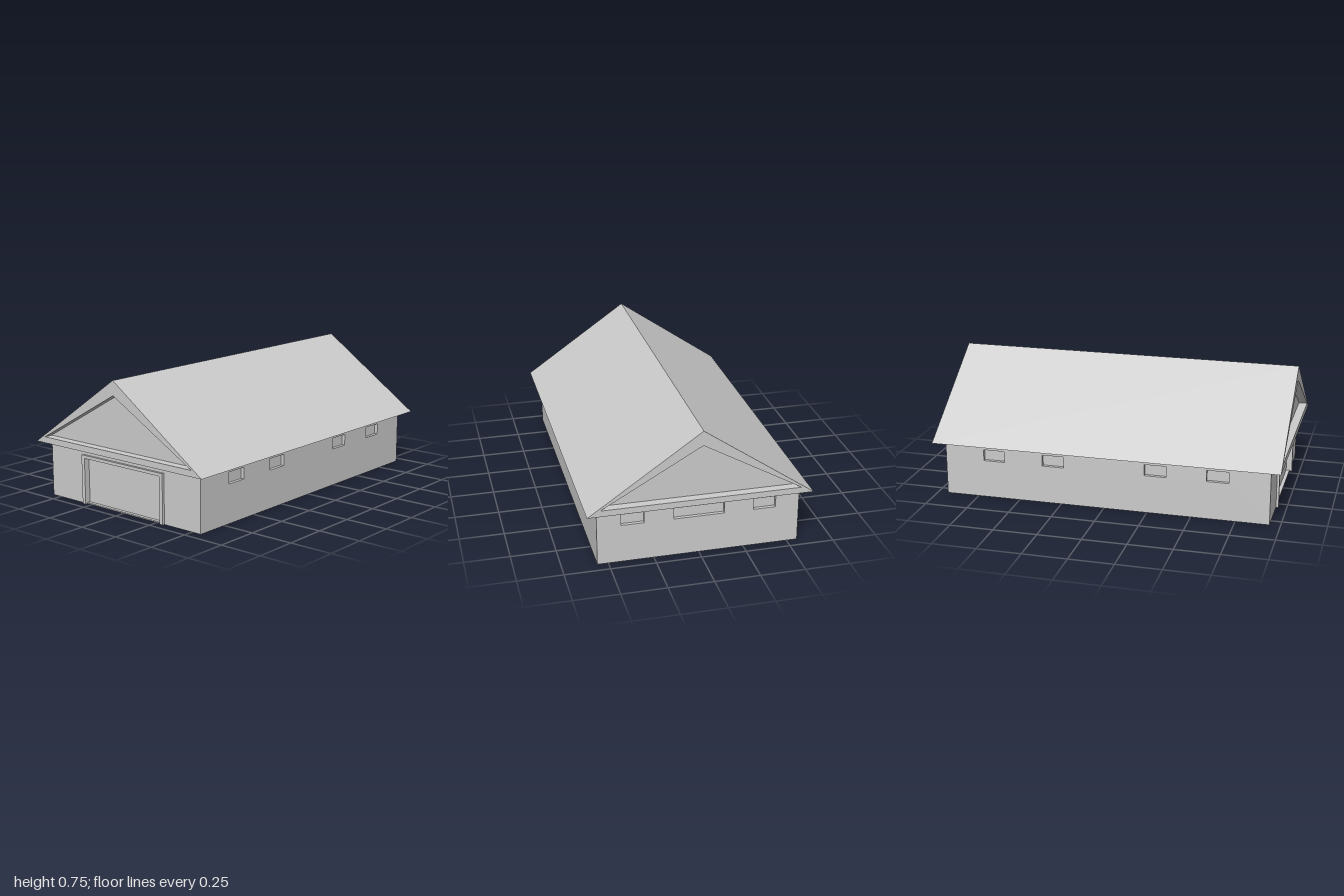
import * as THREE from 'three';

const material = new THREE.MeshStandardMaterial({ color: 0xcccccc, flatShading: true });
const WALL_X = 0.56, WALL_Z = 0.94, EAVE = 0.32, SKIN = 0.02;

function polygon(points, Type = THREE.Shape) {
  return new Type(points.map(([x, y]) => new THREE.Vector2(x, y)));
}

function rect(x, y0, w, y1) {
  return [[x - w / 2, y0], [x + w / 2, y0], [x + w / 2, y1], [x - w / 2, y1]];
}

function extrude(shape, depth) {
  return new THREE.ExtrudeGeometry(shape, { depth, bevelEnabled: false });
}

function addMesh(parent, name, geometry) {
  const mesh = new THREE.Mesh(geometry, material);
  mesh.name = name;
  parent.add(mesh);
  return mesh;
}

// Wall skin with openings; its back is mitred so neighbouring skins meet cleanly
function wallGeometry(halfWidth, openings) {
  const shape = polygon(rect(0, 0, halfWidth * 2, EAVE));
  shape.holes = openings.map((o) => polygon(rect(...o), THREE.Path));
  const geometry = extrude(shape, SKIN);
  const p = geometry.attributes.position;
  for (let i = 0; i < p.count; i++) {
    if (p.getZ(i) < 1e-4 && Math.abs(p.getX(i)) > halfWidth - 1e-4) {
      p.setX(i, Math.sign(p.getX(i)) * (halfWidth - SKIN));
    }
  }
  geometry.computeVertexNormals();
  return geometry;
}

export function createModel() {
  const group = new THREE.Group();
  group.name = 'garage';

  // Core: its faces form the recessed window panes and door panel
  const core = new THREE.BoxGeometry((WALL_X - SKIN) * 2, EAVE, (WALL_Z - SKIN) * 2);
  addMesh(group, 'panesAndDoorPanel', core).position.y = EAVE / 2;

  // Walls
  const windowAt = (x, w = 0.125) => [x, 0.22, w, 0.285];
  const front = addMesh(group, 'frontWall', wallGeometry(WALL_X, [[0, 0.007, 0.564, 0.265]]));
  front.position.z = WALL_Z - SKIN;

  const back = addMesh(group, 'backWall',
    wallGeometry(WALL_X, [windowAt(-0.365), windowAt(0, 0.28), windowAt(0.365)]));
  back.rotation.y = Math.PI;
  back.position.z = -(WALL_Z - SKIN);

  const sideGeometry = wallGeometry(WALL_Z, [-0.648, -0.297, 0.297, 0.648].map((z) => windowAt(z)));
  for (const side of [1, -1]) {
    const wall = addMesh(group, side > 0 ? 'leftWall' : 'rightWall', sideGeometry);
    wall.rotation.y = side * Math.PI / 2;
    wall.position.x = side * (WALL_X - SKIN);
  }

  // Door frame: two jambs and a header
  const frame = polygon([
    [-0.305, 0], [-0.282, 0], [-0.282, 0.265], [0.282, 0.265],
    [0.282, 0], [0.305, 0], [0.305, 0.283], [-0.305, 0.283],
  ]);
  addMesh(group, 'doorFrame', extrude(frame, 0.014)).position.z = WALL_Z;

  // Roof with a triangular opening, filled by a set-back gable
  const gable = [[-0.55, 0.355], [0.55, 0.355], [0, 0.667]];
  const roof = polygon([[-0.62, EAVE], [0.62, EAVE], [0, 0.75]]);
  roof.holes.push(polygon(gable, THREE.Path));
  addMesh(group, 'roof', extrude(roof, 2)).position.z = -1;
  addMesh(group, 'gables', extrude(polygon(gable), 1.9)).position.z = -0.95;

  return group;
}
